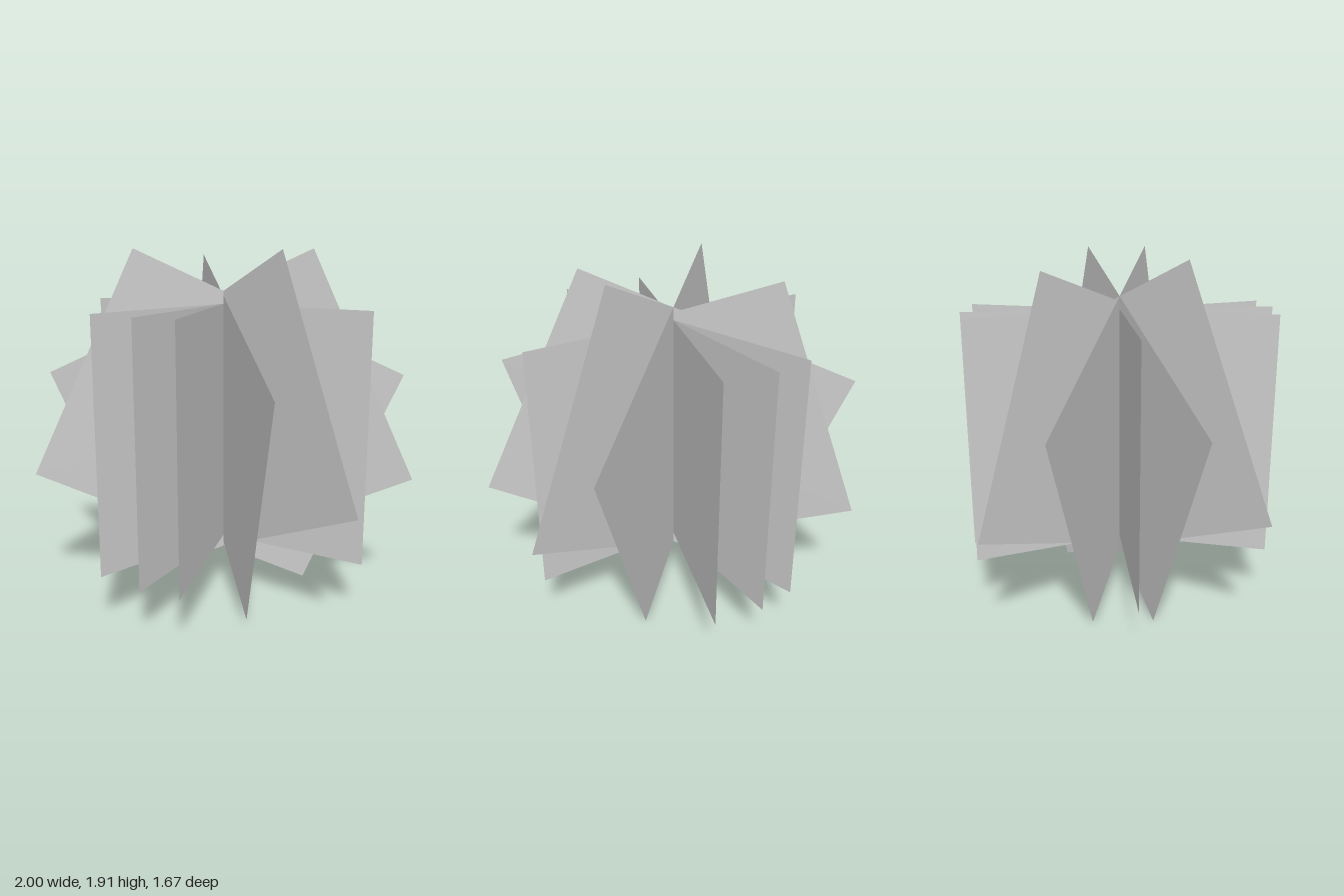
import * as THREE from 'three';

const WIDTH = 1.675, HEIGHT = 1.33, CENTRE_Y = 0.96;

// Each card crosses the vertical axis: [yaw about y, tilt within its own plane], in degrees
const UPRIGHT = [[0, 0], [90.3, 0], [71.5, 0], [-75, 0]];
const TILTED = [[-24, 25], [16, 25], [37.8, -25], [-48.2, -20]];

export function createModel() {
  const model = new THREE.Group();
  model.name = 'foliageCards';
  const material = new THREE.MeshStandardMaterial({ color: 0xcccccc, side: THREE.DoubleSide });

  const addCards = (name, cards) => cards.forEach(([yaw, tilt], i) => {
    const geometry = new THREE.PlaneGeometry(WIDTH, HEIGHT)
      .rotateZ(THREE.MathUtils.degToRad(tilt))
      .rotateY(THREE.MathUtils.degToRad(yaw));
    const card = new THREE.Mesh(geometry, material);
    card.name = `${name}${i + 1}`;
    card.position.y = CENTRE_Y;
    model.add(card);
  });

  // Upright cards, then the cards leaning in their planes
  addCards('uprightCard', UPRIGHT);
  addCards('tiltedCard', TILTED);
  return model;
}
